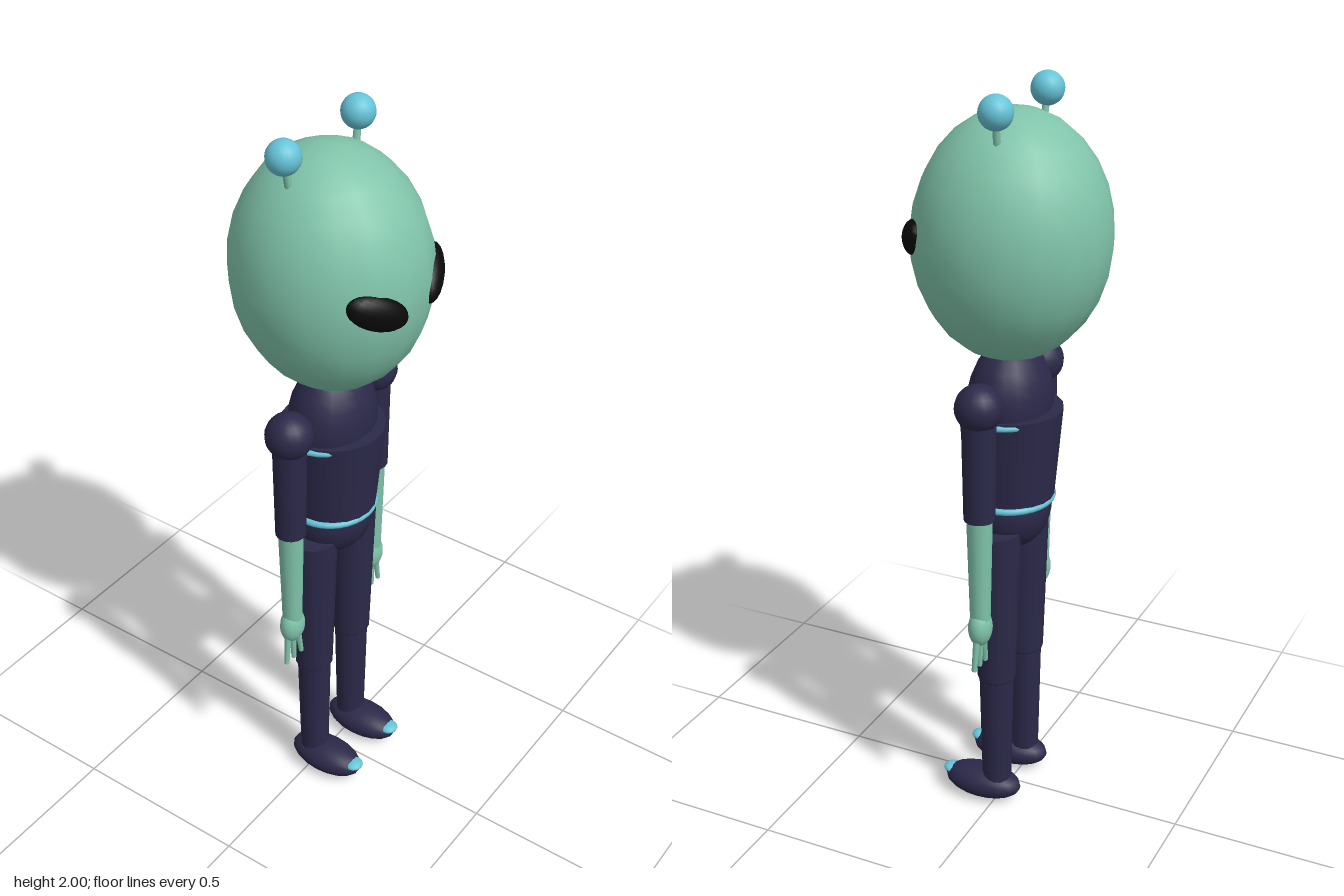
import * as THREE from 'three';

const mat = (name, color) => new THREE.MeshStandardMaterial({ name, color });

export function createModel() {
  const skin = mat('green skin', 0x80c4aa);
  const suit = mat('navy suit', 0x2b2949);
  const trim = mat('cyan trim', 0x66c4d8);
  const black = mat('black eye', 0x0a0a0a);

  const model = new THREE.Group();
  model.name = 'alien';

  const add = (parent, name, geo, material, x, y, z) => {
    const mesh = new THREE.Mesh(geo, material);
    mesh.name = name;
    mesh.position.set(x, y, z);
    parent.add(mesh);
    return mesh;
  };
  const ellipsoid = (rx, ry, rz, w = 18, h = 14) =>
    new THREE.SphereGeometry(1, w, h).scale(rx, ry, rz);
  // Tapered rod from point a (radius ra) to point b (radius rb)
  const rod = (parent, name, material, a, b, ra, rb, sides = 14) => {
    const from = new THREE.Vector3(...a), to = new THREE.Vector3(...b);
    const dir = to.clone().sub(from);
    const mid = from.clone().add(to).multiplyScalar(0.5);
    const mesh = add(parent, name, new THREE.CylinderGeometry(rb, ra, dir.length(), sides),
      material, mid.x, mid.y, mid.z);
    mesh.quaternion.setFromUnitVectors(new THREE.Vector3(0, 1, 0), dir.normalize());
    return mesh;
  };
  // Flat elliptical band around the body
  const band = (name, rx, rz, y, tube) => add(model, name,
    new THREE.TorusGeometry(1, tube / rx, 8, 32).rotateX(Math.PI / 2).scale(rx, rx, rz),
    trim, 0, y, 0);

  // Head, leaning back slightly
  const head = add(model, 'head', ellipsoid(0.247, 0.32, 0.256), skin, 0, 1.62, -0.004);
  head.rotation.x = -0.06;

  // Body
  add(model, 'chest', ellipsoid(0.132, 0.16, 0.108), suit, 0, 1.185, 0);
  add(model, 'torso', new THREE.CylinderGeometry(0.137, 0.115, 0.25, 20), suit, 0, 1.042, 0);
  add(model, 'hips', ellipsoid(0.12, 0.125, 0.108), suit, 0, 0.89, 0);
  band('chestBand', 0.138, 0.114, 1.155, 0.008);
  band('belt', 0.118, 0.11, 0.914, 0.009);

  for (const s of [1, -1]) {
    const side = s > 0 ? 'left' : 'right';

    // Eye, turned around the head with its outer end raised
    const eye = add(model, side + 'Eye', ellipsoid(0.086, 0.045, 0.033, 20, 14), black,
      s * 0.114, 1.619, 0.206);
    eye.rotation.set(0, s * 0.52, s * 0.45, 'YXZ');

    // Antenna
    rod(model, side + 'AntennaStem', skin,
      [s * 0.13, 1.86, -0.027], [s * 0.147, 1.95, -0.03], 0.01, 0.009, 8);
    add(model, side + 'AntennaBall', new THREE.SphereGeometry(0.043, 18, 14), trim,
      s * 0.147, 1.957, -0.031);

    // Arm
    const arm = new THREE.Group();
    arm.name = side + 'Arm';
    model.add(arm);
    add(arm, 'shoulder', new THREE.SphereGeometry(0.062, 18, 14), suit, s * 0.186, 1.228, 0);
    rod(arm, 'sleeve', suit, [s * 0.186, 1.22, 0], [s * 0.187, 0.922, 0], 0.045, 0.041);
    rod(arm, 'forearm', skin, [s * 0.187, 0.925, 0], [s * 0.187, 0.63, 0], 0.034, 0.027);
    add(arm, 'hand', ellipsoid(0.039, 0.053, 0.031), skin, s * 0.187, 0.605, 0);
    for (const f of [-1, 0, 1]) {
      rod(arm, 'finger', skin, [s * 0.187 + f * 0.02, 0.585, 0],
        [s * 0.187 + f * 0.033, 0.487, 0.003], 0.01, 0.007, 8);
    }

    // Leg and foot
    const leg = new THREE.Group();
    leg.name = side + 'Leg';
    model.add(leg);
    rod(leg, 'thigh', suit, [s * 0.09, 0.845, 0], [s * 0.09, 0.405, 0], 0.066, 0.052);
    add(leg, 'knee', new THREE.SphereGeometry(0.052, 16, 12), suit, s * 0.09, 0.42, 0);
    rod(leg, 'shin', suit, [s * 0.09, 0.42, 0], [s * 0.09, 0.06, 0], 0.047, 0.04);
    add(leg, 'foot', ellipsoid(0.06, 0.045, 0.112), suit, s * 0.09, 0.05, 0.043);
    add(leg, 'toeCap', ellipsoid(0.027, 0.012, 0.026, 12, 8), trim, s * 0.09, 0.064, 0.138);
  }

  // Stand the soles on the ground
  const box = new THREE.Box3().setFromObject(model);
  for (const part of model.children) part.position.y -= box.min.y;
  return model;
}
